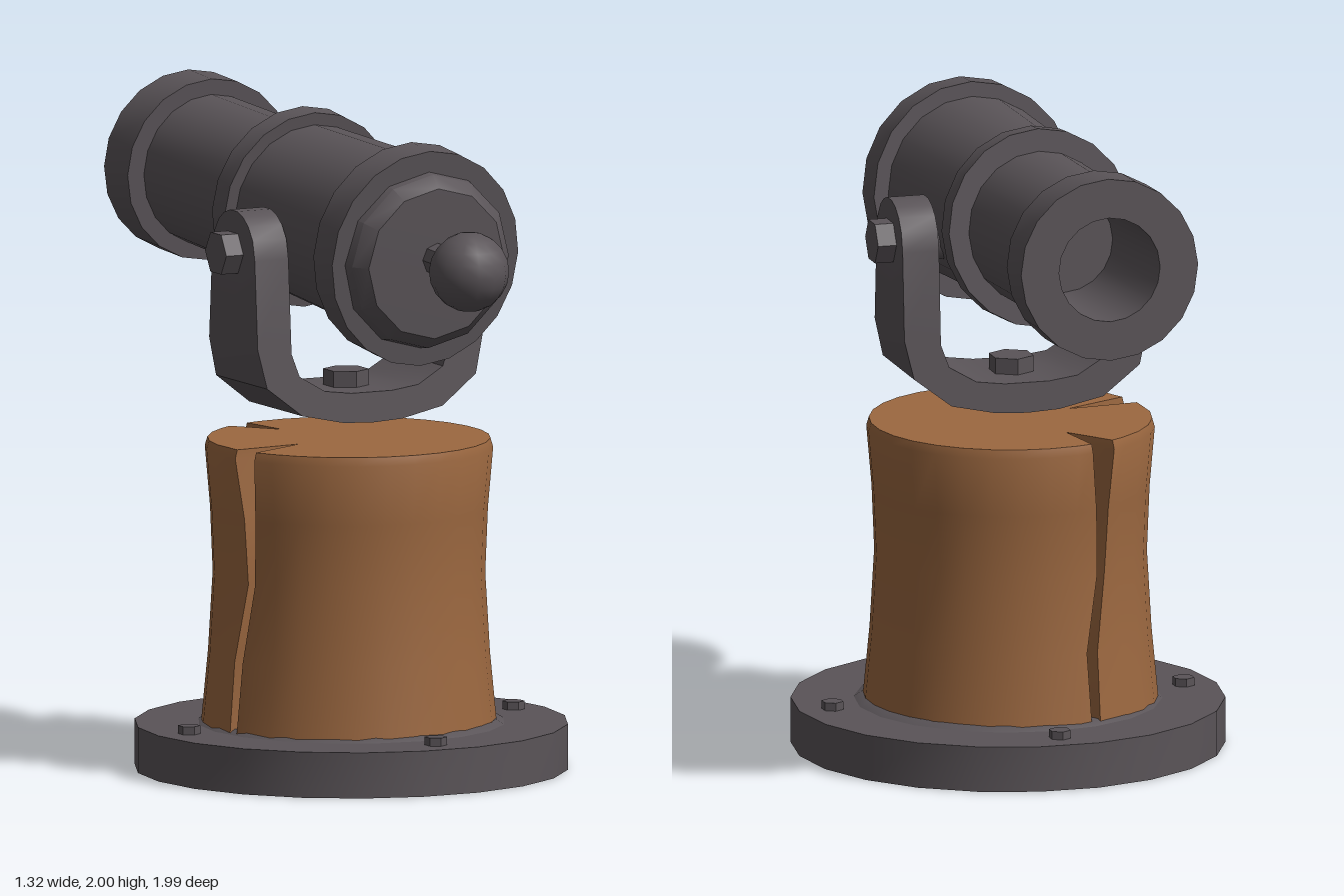
import * as THREE from 'three';
import { toCreasedNormals } from 'three/addons/utils/BufferGeometryUtils.js';

const iron = new THREE.MeshStandardMaterial({ color: 0x5a5458 });
iron.name = 'dark iron';
const wood = new THREE.MeshStandardMaterial({ color: 0x9c6840 });
wood.name = 'brown wood';

function part(parent, name, geometry, material = iron, crease = 0.6) {
  const mesh = new THREE.Mesh(toCreasedNormals(geometry, crease), material);
  mesh.name = name;
  parent.add(mesh);
  return mesh;
}

// Skin closed rings of points and cap both ends with fans
function loft(rings) {
  const pos = [];
  const tri = (...corners) => corners.forEach((p) => pos.push(...p));
  const n = rings[0].length;
  const middle = (ring) => [0, 1, 2].map((k) => ring.reduce((sum, p) => sum + p[k], 0) / n);
  const first = rings[0], last = rings[rings.length - 1];
  for (let i = 0; i < n; i++) {
    const j = (i + 1) % n;
    for (let r = 0; r < rings.length - 1; r++) {
      const a = rings[r], b = rings[r + 1];
      tri(a[i], a[j], b[j]);
      tri(a[i], b[j], b[i]);
    }
    tri(middle(first), first[j], first[i]);
    tri(middle(last), last[i], last[j]);
  }
  const g = new THREE.BufferGeometry();
  g.setAttribute('position', new THREE.Float32BufferAttribute(pos, 3));
  return g;
}

// Turned shape along the barrel: pairs of [radius, distance toward the muzzle]
function turned(points, sides = 20) {
  const profile = points.map(([r, s]) => new THREE.Vector2(r, s));
  return new THREE.LatheGeometry(profile, sides).rotateX(-Math.PI / 2);
}

const hex = (r, h) => new THREE.CylinderGeometry(r, r, h, 6);

// Wooden post with two splits running down the back
function postGeometry() {
  const deg = Math.PI / 180;
  // levels: height, radius, split half-width, split depth, sideways drift
  const levels = [
    [0.13, 0.45, 2, 0.07, -5],
    [0.36, 0.428, 2.6, 0.09, -5],
    [0.6, 0.414, 2, 0.09, 1],
    [0.8, 0.422, 3.2, 0.12, 1],
    [0.985, 0.438, 5.5, 0.17, 0],
    [1.012, 0.43, 5.5, 0.17, 0],
  ];
  const splits = [204, 286];
  return loft(levels.map(([y, r, half, depth, drift]) => {
    const spots = [];
    for (let a = 0; a < 360; a += 12) {
      if (splits.every((s) => Math.abs(a - s) > 11)) spots.push([a, r]);
    }
    splits.forEach((s, i) => {
      const c = s + drift;
      spots.push([c - half, r], [c, r - depth * (1 + 0.3 * i)], [c + half, r]);
    });
    spots.sort((p, q) => p[0] - q[0]);
    return spots.map(([a, d]) => [-0.008 + d * Math.sin(a * deg), y, 0.1 + d * Math.cos(a * deg)]);
  }));
}

// U-shaped yoke, tapering upward to rounded ears
function yokeGeometry() {
  // outer x, outer y, inner x, inner y
  const half = [
    [0.385, 1.728, 0.27, 1.728], [0.385, 1.715, 0.27, 1.715], [0.385, 1.69, 0.27, 1.69],
    [0.385, 1.65, 0.27, 1.65], [0.385, 1.59, 0.27, 1.59], [0.385, 1.32, 0.27, 1.3],
    [0.357, 1.2, 0.245, 1.23], [0.24, 1.11, 0.16, 1.18], [0.1, 1.08, 0.07, 1.168],
  ];
  const path = [
    ...half.map(([ox, oy, ix, iy]) => [-ox, oy, -ix, iy]),
    [0, 1.075, 0, 1.168],
    ...half.slice().reverse(),
  ];
  const width = (y) => y > 1.59
    ? Math.sqrt(0.14 ** 2 - (y - 1.59) ** 2)
    : THREE.MathUtils.mapLinear(y, 1.075, 1.59, 0.177, 0.14);
  const z = 0.065;
  return loft(path.map(([ox, oy, ix, iy]) => [
    [ox, oy, z - width(oy)], [ix, iy, z - width(iy)],
    [ix, iy, z + width(iy)], [ox, oy, z + width(oy)],
  ]));
}

export function createModel() {
  const model = new THREE.Group();
  model.name = 'deckCannon';

  // Base plate with four bolts and a thin collar round the post
  const base = new THREE.Group();
  base.name = 'base';
  base.position.z = 0.1;
  model.add(base);
  part(base, 'basePlate', new THREE.CylinderGeometry(0.66, 0.66, 0.14, 22).rotateY(Math.PI / 22))
    .position.y = 0.07;
  part(base, 'postCollar', new THREE.CylinderGeometry(0.445, 0.47, 0.016, 20)).position.y = 0.147;
  for (let i = 0; i < 4; i++) {
    const a = (i * Math.PI) / 2;
    part(base, 'baseBolt', hex(0.034, 0.03))
      .position.set(0.555 * Math.sin(a), 0.15, 0.555 * Math.cos(a));
  }

  part(model, 'post', postGeometry(), wood);

  // Yoke with its pivot bolts
  part(model, 'yoke', yokeGeometry());
  part(model, 'yokeBolt', hex(0.07, 0.06)).position.set(0, 1.187, 0.065);
  for (const side of [-1, 1]) {
    part(model, 'pivotBolt', hex(0.07, 0.06).rotateZ(Math.PI / 2)).position.set(side * 0.413, 1.6, 0.06);
    part(model, 'pivotPin', new THREE.CylinderGeometry(0.07, 0.07, 0.12, 12).rotateZ(Math.PI / 2))
      .position.set(side * 0.25, 1.6, 0.06);
  }

  // Barrel, tilted slightly upward at the muzzle
  const gun = new THREE.Group();
  gun.name = 'gun';
  gun.position.set(-0.002, 1.664, 0.06);
  gun.rotation.x = 0.0535;
  model.add(gun);

  part(gun, 'barrel', turned([[0.284, -0.5], [0.262, 0.25], [0.237, 0.28], [0.231, 0.95]]))
    .scale.x = 0.97;
  part(gun, 'muzzle', turned([
    [0.2, 0.888], [0.28, 0.888], [0.28, 1.043], [0.16, 1.043], [0.155, 0.55], [0, 0.55],
  ]));

  // Raised bands: name, centre, half length, radius, width factor, extra lean
  for (const [name, s, h, r, sx, lean] of [
    ['middleBand', 0.27, 0.041, 0.304, 0.96, 0.06],
    ['breechBand', -0.468, 0.062, 0.335, 0.95, 0.045],
  ]) {
    const band = part(gun, name, turned([[0.18, -h], [r, -h], [r, h], [0.18, h]]));
    band.position.set(0, name === 'breechBand' ? -0.01 : 0, -s);
    band.scale.x = sx;
    band.rotation.x = lean;
  }

  // Breech cap, neck and ball
  part(gun, 'breechCap', turned([[0, -0.61], [0.232, -0.605], [0.268, -0.565], [0.28, -0.5]], 12))
    .position.y = -0.015;
  part(gun, 'neck', turned([[0.05, -0.76], [0.05, -0.6]], 8));
  part(gun, 'ball', new THREE.SphereGeometry(0.122, 14, 10)).position.z = 0.818;

  return model;
}
